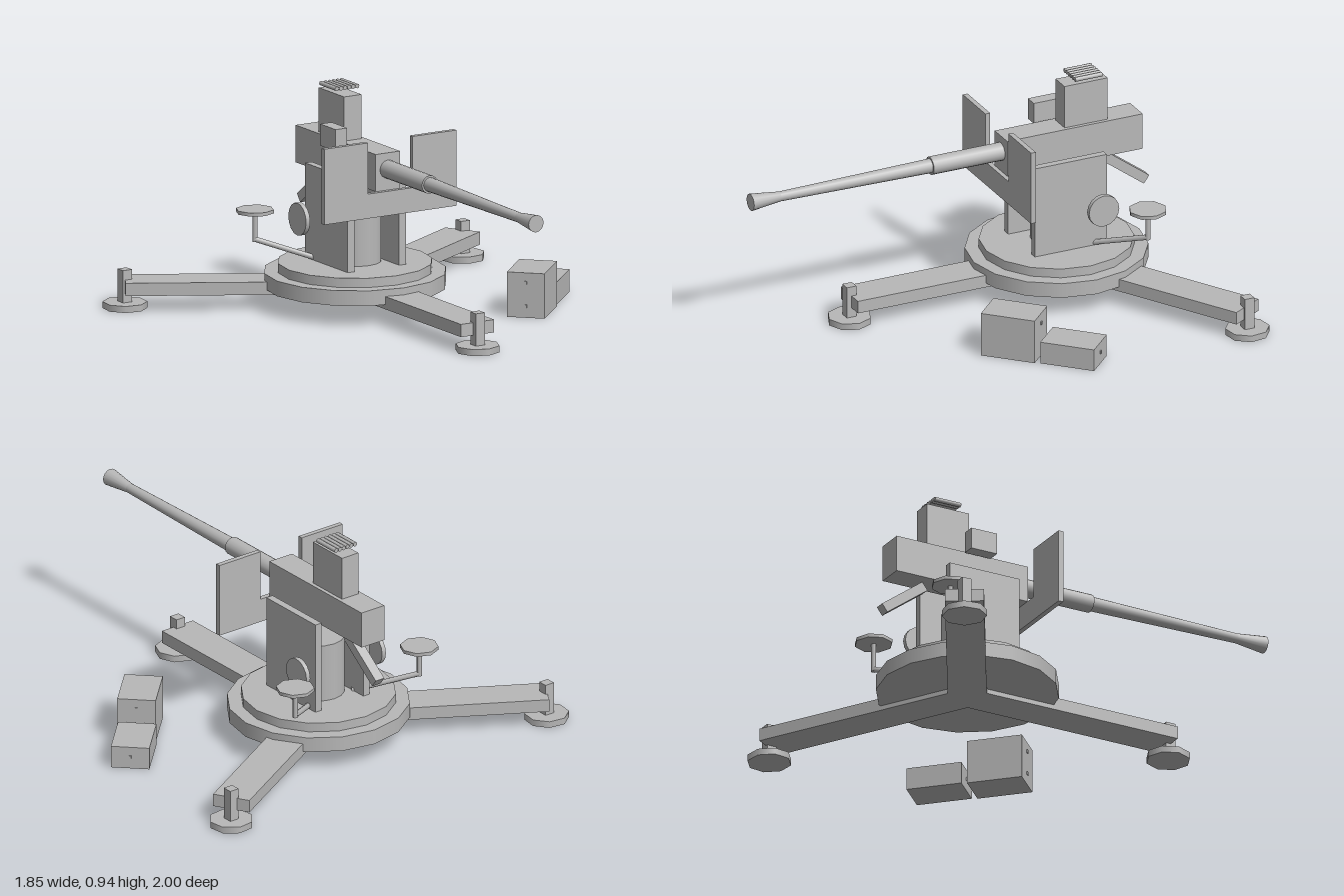
import * as THREE from 'three';

export function createModel() {
  const model = new THREE.Group();
  model.name = 'deckGun';
  const steel = new THREE.MeshStandardMaterial({ color: 0xb8b8b8 });
  steel.name = 'plain grey';
  const CZ = -0.423; // turntable axis

  const add = (name, geo, x = 0, y = 0, z = 0, parent = model) => {
    const m = new THREE.Mesh(geo, steel);
    m.name = name;
    m.position.set(x, y, z);
    parent.add(m);
    return m;
  };
  // box given by its min and max corners
  const box = (name, x0, x1, y0, y1, z0, z1, parent) =>
    add(name, new THREE.BoxGeometry(x1 - x0, y1 - y0, z1 - z0),
      (x0 + x1) / 2, (y0 + y1) / 2, (z0 + z1) / 2, parent);
  // upright cylinder from y0 to y1
  const disc = (name, r, y0, y1, x, z, sides, parent) =>
    add(name, new THREE.CylinderGeometry(r, r, y1 - y0, sides), x, (y0 + y1) / 2, z, parent);

  // Three outrigger legs with screw jacks and foot pads
  const reach = 0.963;
  for (let i = 0; i < 3; i++) {
    const leg = new THREE.Group();
    leg.name = 'outrigger';
    leg.position.z = CZ;
    leg.rotation.y = i * Math.PI * 2 / 3;
    box('legBeam', -0.082, 0.082, 0.07, 0.125, 0, reach, leg);
    disc('footPad', 0.094, 0, 0.028, 0, reach, 8, leg);
    const jack = box('jackPost', -0.022, 0.022, 0.02, 0.167, reach - 0.022, reach + 0.022, leg);
    jack.rotation.y = -leg.rotation.y;
    model.add(leg);
  }

  // Turntable and pedestal
  disc('turntableBase', 0.385, 0.09, 0.155, 0, CZ, 16);
  disc('turntableTop', 0.326, 0.155, 0.195, 0, CZ, 16);
  disc('pedestal', 0.11, 0.195, 0.45, 0, CZ, 16);

  // Mirrored cheeks, handwheels and crew seats
  for (const s of [-1, 1]) {
    add('cheekPlate', new THREE.BoxGeometry(0.033, 0.405, 0.335), s * 0.127, 0.3975, -0.42);
    const wheel = add('handwheel', new THREE.CylinderGeometry(0.07, 0.07, 0.02, 16), s * 0.2, 0.375, -0.543);
    wheel.rotation.z = Math.PI / 2;

    const from = new THREE.Vector3(s * 0.11, 0.195, -0.51);
    const to = new THREE.Vector3(s * 0.328, 0.275, -0.688);
    const arm = add('seatArm', new THREE.CylinderGeometry(0.012, 0.012, from.distanceTo(to), 8));
    arm.position.copy(from).lerp(to, 0.5);
    arm.quaternion.setFromUnitVectors(new THREE.Vector3(0, 1, 0), to.clone().sub(from).normalize());
    disc('seatPost', 0.011, 0.265, 0.392, s * 0.328, -0.688, 8);
    disc('seat', 0.081, 0.39, 0.405, s * 0.328, -0.688, 8);
  }

  // Gun shield with a notch for the barrel
  const outline = [[-0.326, 0.445], [0.326, 0.445], [0.326, 0.77], [0.11, 0.77],
    [0.11, 0.55], [-0.11, 0.55], [-0.11, 0.77], [-0.326, 0.77]];
  const shield = new THREE.Shape(outline.map(([x, y]) => new THREE.Vector2(x, y)));
  add('shield', new THREE.ExtrudeGeometry(shield, { depth: 0.022, bevelEnabled: false }), 0, 0, -0.168);

  // Receiver, loading hopper, sight and ejection chute
  box('receiver', -0.06, 0.06, 0.55, 0.71, -0.795, -0.165);
  box('hopper', -0.043, 0.043, 0.71, 0.9, -0.64, -0.44);
  box('sight', -0.137, -0.08, 0.695, 0.788, -0.48, -0.357);
  const chute = add('ejectionChute', new THREE.BoxGeometry(0.045, 0.042, 0.24), 0, 0.457, -0.735);
  chute.rotation.x = -0.64;

  // Row of rounds above the hopper
  for (let i = 0; i < 6; i++) {
    const round = add('round', new THREE.CylinderGeometry(0.01, 0.01, 0.125, 8), -0.05 + i * 0.02, 0.926, -0.547);
    round.rotation.x = Math.PI / 2;
  }

  // Barrel sections: [rear z, front z, rear radius, front radius]
  const sections = {
    barrelJacket: [-0.17, 0.165, 0.039, 0.039],
    barrel: [0.16, 0.87, 0.031, 0.021],
    flashHider: [0.865, 1.0, 0.021, 0.037],
  };
  for (const [name, [z0, z1, r0, r1]] of Object.entries(sections)) {
    const part = add(name, new THREE.CylinderGeometry(r1, r0, z1 - z0, 16), 0, 0.64, (z0 + z1) / 2);
    part.rotation.x = Math.PI / 2;
  }

  // Two ammunition boxes on the ground, with small end studs
  const crate = (name, x, z, height, studs) => {
    const g = new THREE.Group();
    g.name = name;
    g.position.set(x, 0, z);
    g.rotation.y = Math.PI / 4;
    box('crateBody', -0.119, 0.119, 0, height, -0.081, 0.081, g);
    for (const y of studs) {
      for (const s of [-1, 1]) add('stud', new THREE.BoxGeometry(0.008, 0.014, 0.01), s * 0.12, y, 0, g);
    }
    model.add(g);
  };
  crate('tallCrate', 0.574, 0.054, 0.193, [0.05, 0.15]);
  crate('lowCrate', 0.754, -0.135, 0.097, [0.053]);

  return model;
}
